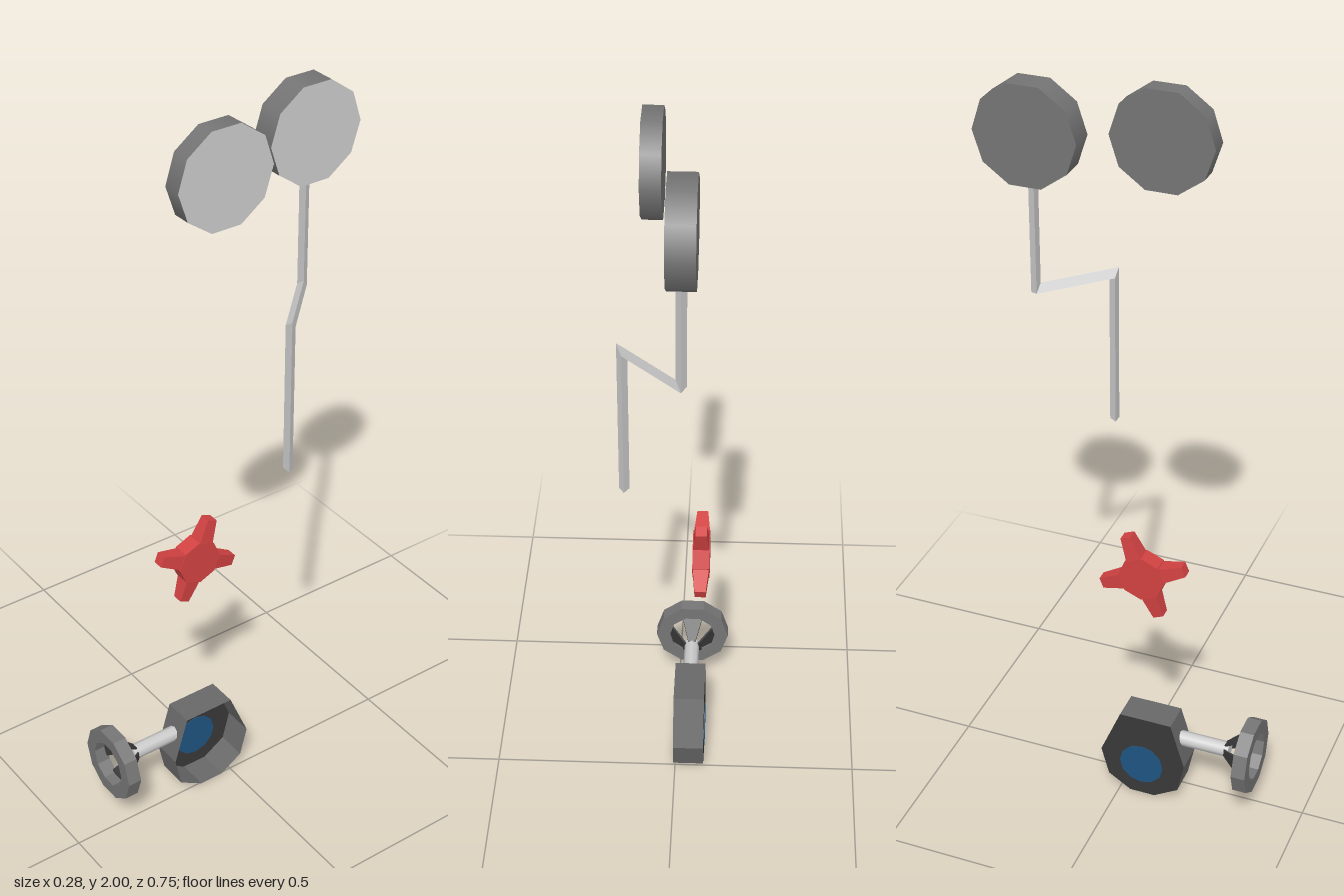
import * as THREE from 'three';

const mat = (name, color, opts = {}) => Object.assign(new THREE.MeshStandardMaterial({ color, ...opts }), { name });

// Flat-shaded skin over matching cross-sections; optionally capped at the first and last
function loft(rings, capped) {
  const pos = [];
  const tri = (...pts) => pts.forEach((p) => pos.push(...p));
  for (let i = 0; i + 1 < rings.length; i++) {
    const a = rings[i], b = rings[i + 1], n = a.length;
    for (let j = 0; j < n; j++) {
      const k = (j + 1) % n;
      tri(a[j], a[k], b[k]);
      tri(a[j], b[k], b[j]);
    }
  }
  if (capped) {
    const a = rings[0], b = rings[rings.length - 1];
    for (let j = 1; j + 1 < a.length; j++) {
      tri(a[0], a[j + 1], a[j]);
      tri(b[0], b[j], b[j + 1]);
    }
  }
  const g = new THREE.BufferGeometry();
  g.setAttribute('position', new THREE.Float32BufferAttribute(pos, 3));
  g.computeVertexNormals();
  return g;
}

export function createModel() {
  const model = new THREE.Group();
  const grey = mat('grey metal', 0x757575);
  const shell = mat('shell grey', 0x686868, { side: THREE.DoubleSide });
  const dark = mat('dark metal', 0x383838, { side: THREE.DoubleSide });
  const pale = mat('pale metal', 0xcccccc);
  const red = mat('red paint', 0xd24242, { flatShading: true });
  const blue = mat('blue glass', 0x1f5480);

  const add = (name, geometry, material, x = 0, y = 0, z = 0, parent = model) => {
    const m = new THREE.Mesh(geometry, material);
    m.name = name;
    m.position.set(x, y, z);
    parent.add(m);
    return m;
  };

  // Upper dials with a pale face on +x
  const dial = (name, x0, x1, z) => {
    const g = new THREE.CylinderGeometry(0.132, 0.132, x1 - x0, 10).rotateZ(-Math.PI / 2);
    add(name, g, [grey, pale, grey], (x0 + x1) / 2, 1.875, z);
  };
  dial('rearDial', -0.06, 0.008, -0.243);
  dial('frontDial', 0.028, 0.078, 0.065);

  // Cranked three-sided stem with mitred corners
  const section = [[-0.013, 0.007], [0.013, 0.007], [0, -0.013]];
  const stemPath = [[0.122, 1.05, -0.092, 0], [0.122, 1.465, -0.092, 1], [-0.024, 1.465, -0.238, 1], [-0.024, 1.8, -0.238, 0]];
  const stemRings = stemPath.map(([x, y, z, mitre]) =>
    section.map(([ox, oz]) => [x + ox, y + mitre * (ox + oz) * Math.SQRT1_2, z + oz]));
  add('crankedStem', loft(stemRings, true), pale);

  // Four-armed red handle
  const handle = new THREE.Group();
  handle.name = 'crossHandle';
  handle.position.set(-0.0675, 0.723, 0.0625);
  handle.rotation.x = -0.385;
  model.add(handle);
  add('handleHub', new THREE.CylinderGeometry(0.063, 0.063, 0.045, 8, 1, false, Math.PI / 8)
    .rotateZ(-Math.PI / 2), red, 0, 0, 0, handle);
  for (let i = 0; i < 4; i++) {
    const g = new THREE.CylinderGeometry(0.0145 * Math.SQRT2, 0.0222 * Math.SQRT2, 0.075, 4, 1, false, Math.PI / 4);
    g.translate(0, 0.0835, 0).rotateX(i * Math.PI / 2);
    add('handleArm', g, red, 0, 0, 0, handle);
  }

  // Faceted housing, open on +x; outline is [z, y]
  const outline = [[0.03, 0], [0.1, 0], [0.167, 0.04], [0.185, 0.125], [0.145, 0.255],
    [0, 0.255], [-0.055, 0.12], [-0.033, 0.04]];
  const wall = [-0.08, 0.004].map((x) => outline.map(([z, y]) => [x, y, z]));
  add('housingWall', loft(wall, false), shell);
  const plate = new THREE.Shape(outline.map(([z, y]) => new THREE.Vector2(-z, y)));
  add('housingPlate', new THREE.ShapeGeometry(plate).rotateY(Math.PI / 2), dark, -0.08);
  add('blueWindow', new THREE.CylinderGeometry(0.062, 0.062, 0.004, 12).rotateZ(-Math.PI / 2),
    blue, -0.08, 0.1, 0.062);

  // Shaft and hand wheel
  const wheel = new THREE.Group();
  wheel.name = 'handWheel';
  wheel.position.set(-0.037, 0.19, 0);
  model.add(wheel);
  add('shaft', new THREE.CylinderGeometry(0.021, 0.021, 0.155, 8).rotateX(Math.PI / 2), pale, 0, 0, 0.2225, wheel);

  const polygon = (Type, r) => new Type(Array.from({ length: 10 }, (_, i) =>
    new THREE.Vector2(Math.cos(i * Math.PI / 5) * r, Math.sin(i * Math.PI / 5) * r)));
  const rim = polygon(THREE.Shape, 0.103);
  rim.holes.push(polygon(THREE.Path, 0.065));
  add('wheelRim', new THREE.ExtrudeGeometry(rim, { depth: 0.038, bevelEnabled: false }), grey, 0, 0, 0.337, wheel);

  // Flared spokes from shaft to rim
  for (let i = 0; i < 4; i++) {
    const bar = (z, r, w) => [[-w, r, z], [w, r, z], [w, r - 0.006, z], [-w, r - 0.006, z]];
    const g = loft([bar(0.288, 0.02, 0.01), bar(0.345, 0.064, 0.029)], true);
    add('wheelSpoke', g.rotateZ(i * Math.PI / 2), dark, 0, 0, 0, wheel);
  }
  return model;
}
